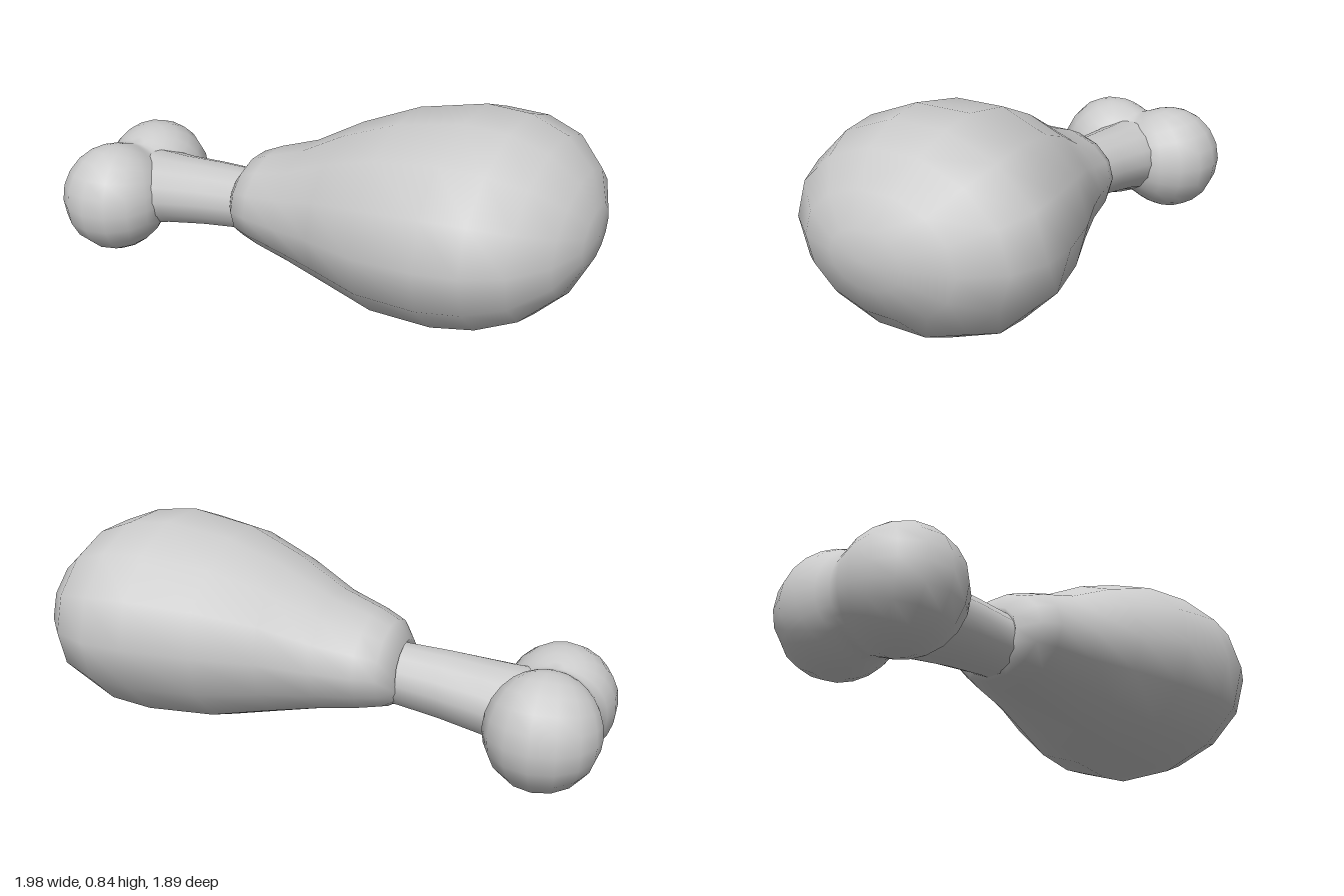
import * as THREE from 'three';
import { mergeVertices } from 'three/addons/utils/BufferGeometryUtils.js';

const material = new THREE.MeshStandardMaterial({ color: 0xcccccc });

// Smooth skin over elliptical rings along z: [z, centreX, centreY, radiusX, radiusY]
function loft(rings, sides = 14) {
  const positions = [], indices = [];
  rings.forEach(([z, cx, cy, rx, ry], i) => {
    for (let j = 0; j < sides; j++) {
      const a = (j / sides) * Math.PI * 2;
      positions.push(cx + rx * Math.cos(a), cy + ry * Math.sin(a), z);
      if (i === rings.length - 1) continue;
      const p = i * sides + j, q = i * sides + (j + 1) % sides;
      indices.push(p, q, q + sides, p, q + sides, p + sides);
    }
  });
  const geometry = new THREE.BufferGeometry();
  geometry.setAttribute('position', new THREE.Float32BufferAttribute(positions, 3));
  geometry.setIndex(indices);
  const merged = mergeVertices(geometry);
  merged.computeVertexNormals();
  return merged;
}

// Two rounded lobes side by side along x, blended into one surface
function twinKnob(radius, offset) {
  let geometry = new THREE.SphereGeometry(1, 24, 16);
  geometry.deleteAttribute('uv');
  geometry.deleteAttribute('normal');
  geometry = mergeVertices(geometry);
  const p = geometry.attributes.position, n = new THREE.Vector3();
  for (let i = 0; i < p.count; i++) {
    n.fromBufferAttribute(p, i).normalize();
    const reach = offset * Math.sqrt(n.x * n.x + 0.05)
      + Math.sqrt(radius ** 2 - offset ** 2 * (1 - n.x * n.x));
    n.multiplyScalar(reach);
    p.setXYZ(i, n.x, n.y, n.z);
  }
  geometry.computeVertexNormals();
  return geometry;
}

export function createModel() {
  const model = new THREE.Group();
  model.name = 'drumstick';
  const add = (name, geometry) => {
    const mesh = new THREE.Mesh(geometry, material);
    mesh.name = name;
    model.add(mesh);
    return mesh;
  };

  // Meat: narrow rolled lip at the bone, swelling to a rounded end
  add('meat', loft([
    [-0.30, -0.05, 0.31, 0.10, 0.10],
    [-0.335, -0.05, 0.315, 0.135, 0.12],
    [-0.28, -0.05, 0.335, 0.21, 0.17],
    [-0.20, -0.05, 0.345, 0.245, 0.197],
    [-0.04, -0.05, 0.36, 0.29, 0.24],
    [0.15, -0.045, 0.395, 0.365, 0.315],
    [0.37, -0.035, 0.42, 0.455, 0.385],
    [0.62, -0.01, 0.447, 0.512, 0.407],
    [0.78, 0.01, 0.455, 0.505, 0.385],
    [0.92, 0.02, 0.46, 0.445, 0.325],
    [1.03, 0.025, 0.462, 0.31, 0.22],
    [1.085, 0.02, 0.465, 0.15, 0.105],
    [1.1, 0.02, 0.465, 0, 0],
  ]));

  // Bone shaft, flaring into the knob
  add('boneShaft', loft([
    [-0.90, -0.045, 0.235, 0.18, 0.16],
    [-0.75, -0.045, 0.245, 0.18, 0.152],
    [-0.67, -0.05, 0.258, 0.165, 0.143],
    [-0.50, -0.05, 0.28, 0.148, 0.133],
    [-0.33, -0.05, 0.295, 0.131, 0.125],
    [-0.15, -0.05, 0.31, 0.13, 0.125],
  ]));

  // Two-lobed bone end
  const knob = add('boneKnob', twinKnob(0.213, 0.155));
  knob.position.set(-0.045, 0.228, -0.912);
  knob.scale.y = 1.04;

  // The drumstick lies diagonally
  model.rotation.y = Math.PI / 4;
  const group = new THREE.Group();
  group.add(model);
  return group;
}
